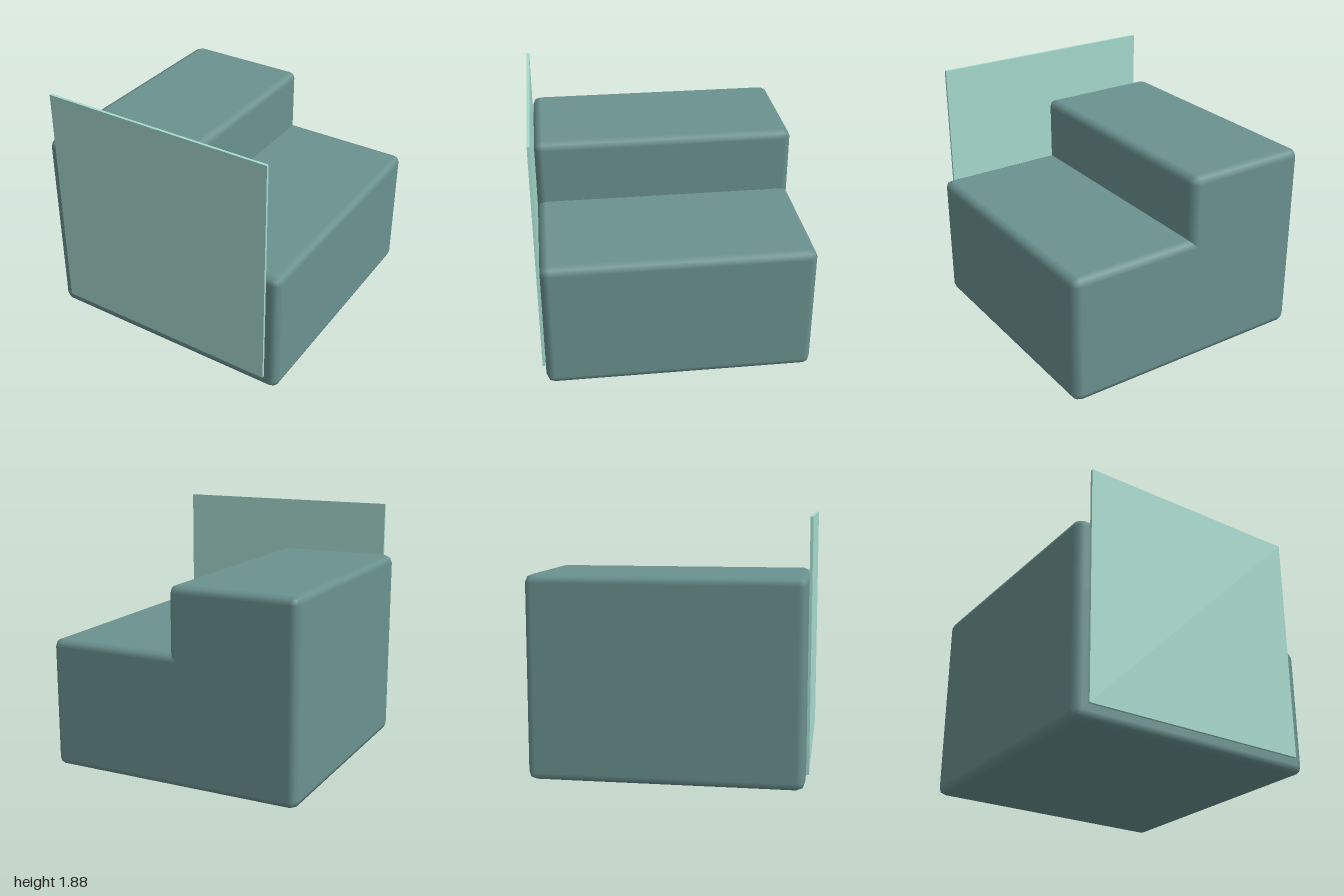
import * as THREE from 'three';
import { RoundedBoxGeometry } from 'three/addons/geometries/RoundedBoxGeometry.js';

export function createModel() {
  const group = new THREE.Group();
  const blockTeal = new THREE.MeshStandardMaterial({ color: 0x6a9290 });
  blockTeal.name = 'block teal';
  const panelMint = new THREE.MeshStandardMaterial({ color: 0xa6dbce });
  panelMint.name = 'panel mint';

  function add(name, geometry, material, x, y, z) {
    const mesh = new THREE.Mesh(geometry, material);
    mesh.name = name;
    mesh.position.set(x, y, z);
    group.add(mesh);
  }

  // Two overlapping blocks with softened edges form the step
  const depth = 1.975, bevel = 0.06;
  const block = (w, h) => new RoundedBoxGeometry(w, h, depth, 1, bevel);
  add('lowerStep', block(1.97, 0.99), blockTeal, 0, 0.495, -0.0125);
  add('upperStep', block(0.98, 1.48), blockTeal, -0.495, 0.74, -0.0125);

  // Thin square panel standing against the front
  add('frontPanel', new THREE.BoxGeometry(1.78, 1.78, 0.02), panelMint, 0, 0.995, 0.99);

  return group;
}
